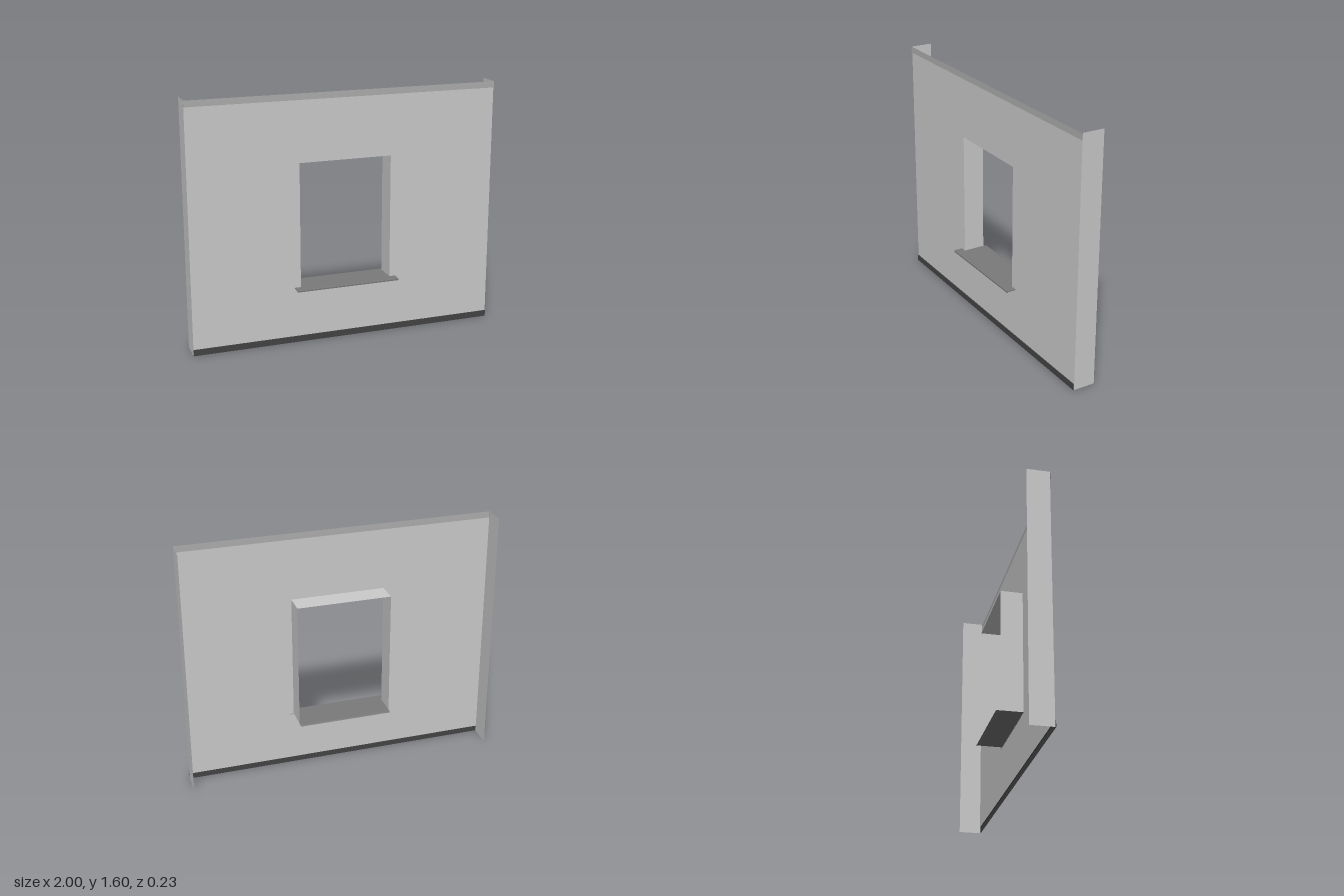
import * as THREE from 'three';

const FRONT = 0.055, BACK = -0.086;   // panel plane and rear edge of the returns
const SILL = 0.367, HEAD = 1.17, JAMB = 0.3;

const material = (color) => new THREE.MeshStandardMaterial({ color, side: THREE.DoubleSide, flatShading: true });
const sheetGrey = material(0xcccccc);
const topGrey = material(0xaeaeae);
const sillGrey = material(0x7a7a7a);
const baseGrey = material(0x444444);

export function createModel() {
  const group = new THREE.Group();
  const add = (name, geometry, mat) => {
    const mesh = new THREE.Mesh(geometry, mat);
    mesh.name = name;
    group.add(mesh);
    return mesh;
  };

  // Folded sheet: a [z, y] profile swept across the width
  const foldedSheet = (profile, halfWidth) => {
    const pos = [], index = [];
    profile.forEach(([z, y], i) => {
      pos.push(-halfWidth, y, z, halfWidth, y, z);
      if (i) {
        const a = 2 * i - 2;
        index.push(a, a + 1, a + 3, a, a + 3, a + 2);
      }
    });
    const g = new THREE.BufferGeometry();
    g.setAttribute('position', new THREE.Float32BufferAttribute(pos, 3));
    g.setIndex(index);
    const flat = g.toNonIndexed();
    flat.computeVertexNormals();
    return flat;
  };

  // Wall sheet with window opening
  const wall = new THREE.Shape([[-1, 0.04], [1, 0.04], [1, 1.56], [-1, 1.56]].map((p) => new THREE.Vector2(...p)));
  wall.holes.push(new THREE.Path(
    [[-JAMB, SILL], [-JAMB, HEAD], [JAMB, HEAD], [JAMB, SILL]].map((p) => new THREE.Vector2(...p))));
  add('wallPanel', new THREE.ShapeGeometry(wall), sheetGrey).position.z = FRONT;

  // Trim strips stepped slightly forward of the wall
  const step = FRONT + 0.005;
  add('topStrip', foldedSheet([[FRONT, 1.56], [step, 1.56], [step, 1.6]], 1), topGrey);
  add('baseStrip', foldedSheet([[step, 0], [step, 0.04], [FRONT, 0.04]], 1), baseGrey);

  // Side returns and window jambs
  const depth = FRONT - BACK, midZ = (FRONT + BACK) / 2;
  for (const s of [1, -1]) {
    const side = s > 0 ? 'left' : 'right';
    const wing = add(side + 'Return', new THREE.PlaneGeometry(depth, 1.6), sheetGrey);
    wing.rotation.y = s * Math.PI / 2;
    wing.position.set(s, 0.8, midZ);
    const jamb = add(side + 'Jamb', new THREE.PlaneGeometry(depth, HEAD - SILL), sheetGrey);
    jamb.rotation.y = -s * Math.PI / 2;
    jamb.position.set(s * JAMB, (HEAD + SILL) / 2, midZ);
  }
  const head = add('windowHead', new THREE.PlaneGeometry(2 * JAMB, depth), sheetGrey);
  head.rotation.x = Math.PI / 2;
  head.position.set(0, HEAD, midZ);

  // Inner sill, running a little past the reveal at the back
  add('innerSill', foldedSheet([[FRONT, SILL], [BACK, SILL], [-0.108, SILL - 0.001], [-0.115, SILL - 0.006]], JAMB), sillGrey);

  // Projecting outer sill with a drip lip
  const lip = new THREE.Shape([
    [FRONT, 0.361], [0.107, 0.361], [0.108, 0.355], [0.114, 0.355],
    [0.114, 0.364], [0.111, SILL], [FRONT, SILL],
  ].map((p) => new THREE.Vector2(...p)));
  const sill = new THREE.ExtrudeGeometry(lip, { depth: 0.68, bevelEnabled: false });
  sill.translate(0, 0, -0.34).rotateY(-Math.PI / 2);
  add('outerSill', sill, sillGrey);

  return group;
}
